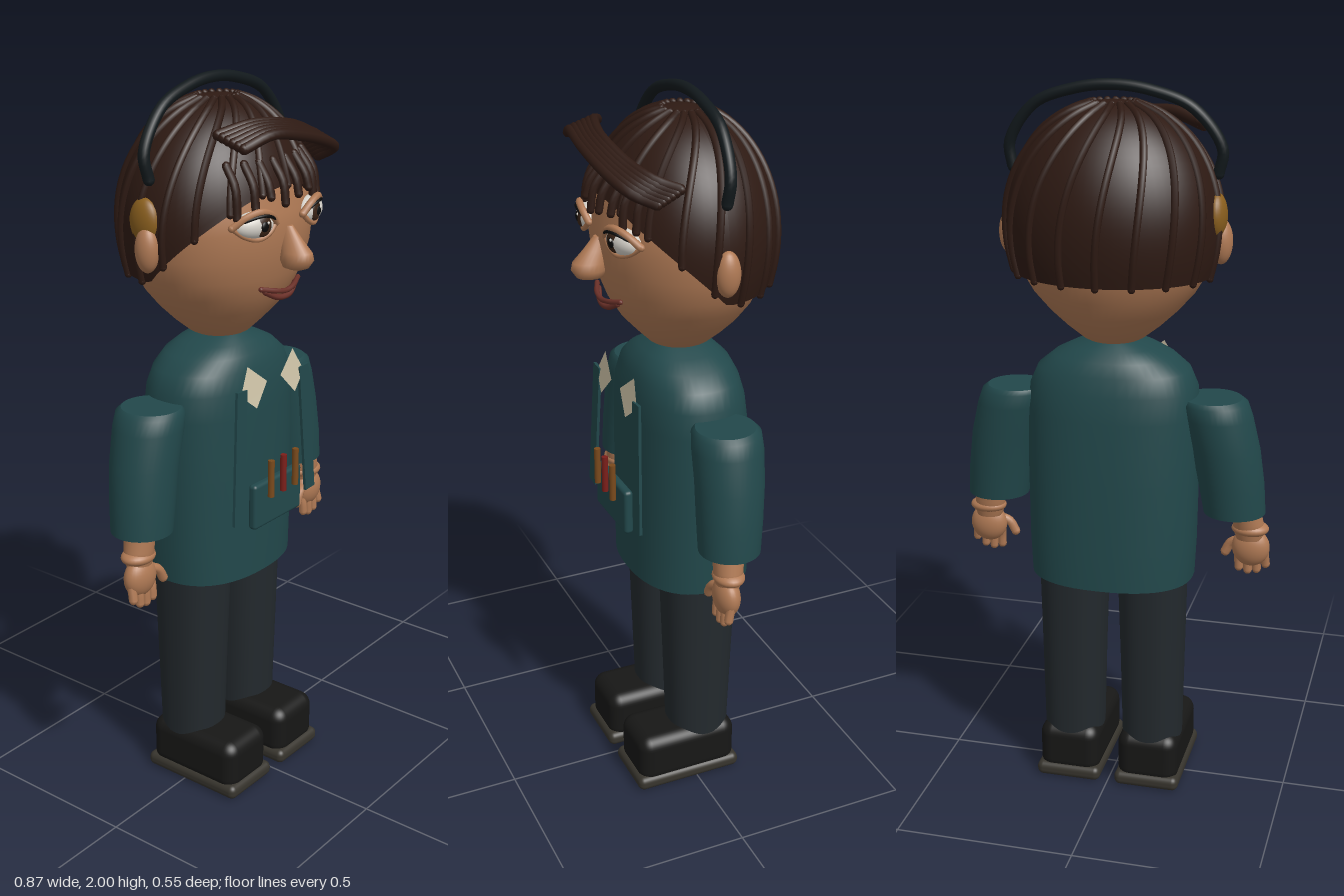
import * as THREE from 'three';
import { RoundedBoxGeometry } from 'three/addons/geometries/RoundedBoxGeometry.js';

const V = (x, y, z) => new THREE.Vector3(x, y, z);
const mat = (color) => new THREE.MeshStandardMaterial({ color, side: THREE.DoubleSide });
const M = {
  skin: mat(0xb07a55), hair: mat(0x2e1a13), teal: mat(0x22484b), pants: mat(0x23292d),
  shoe: mat(0x171716), sole: mat(0x37342d), band: mat(0x12191c), cream: mat(0xcfc4a8),
  white: mat(0xd8d4cc), iris: mat(0x3a2416), black: mat(0x0a0a0a), lip: mat(0x6a3028),
  wood: mat(0x7a4a1c), red: mat(0x7c1f1a), gold: mat(0x8a5f1e),
};

export function createModel() {
  const root = new THREE.Group();
  const add = (name, geo, m, pos = [0, 0, 0], scale = [1, 1, 1], rot = [0, 0, 0]) => {
    const mesh = new THREE.Mesh(geo, m);
    mesh.name = name;
    mesh.position.set(...pos);
    mesh.scale.set(...scale);
    mesh.rotation.set(...rot);
    root.add(mesh);
    return mesh;
  };
  const ball = (name, m, pos, radii, rot) =>
    add(name, new THREE.SphereGeometry(1, 28, 18), m, pos, radii, rot);
  const tube = (name, m, pts, r, seg = 20, sides = 8) => {
    const curve = new THREE.CatmullRomCurve3(pts);
    add(name, new THREE.TubeGeometry(curve, seg, r, sides), m);
    // rounded ends
    for (const p of [pts[0], pts[pts.length - 1]])
      add(name + 'End', new THREE.SphereGeometry(r, 8, 6), m, p.toArray());
  };

  // Solid through oval sections [y, cx, cz, rx, rz], listed bottom to top
  const loft = (name, m, secs, p = 1, n = 40) => {
    const pos = [], idx = [];
    const pw = (v) => Math.sign(v) * Math.abs(v) ** p;
    const ring = ([y, cx, cz, rx, rz]) => {
      const base = pos.length / 3;
      for (let j = 0; j < n; j++) {
        const a = (j / n) * Math.PI * 2;
        pos.push(cx + rx * pw(Math.cos(a)), y, cz + rz * pw(Math.sin(a)));
      }
      return base;
    };
    const bases = secs.map(ring);
    for (let i = 0; i + 1 < bases.length; i++)
      for (let j = 0; j < n; j++) {
        const k = (j + 1) % n, a = bases[i] + j, b = bases[i] + k, c = bases[i + 1] + j, d = bases[i + 1] + k;
        idx.push(a, c, b, b, c, d);
      }
    [secs[0], secs[secs.length - 1]].forEach((s, top) => {
      const b = ring(s), c = pos.length / 3;
      pos.push(s[1], s[0], s[2]);
      for (let j = 0; j < n; j++) {
        const k = (j + 1) % n;
        idx.push(c, b + (top ? k : j), b + (top ? j : k));
      }
    });
    const g = new THREE.BufferGeometry();
    g.setAttribute('position', new THREE.Float32BufferAttribute(pos, 3));
    g.setIndex(idx);
    // the name of the centre column is [cx, y, cz]
    g.computeVertexNormals();
    return add(name, g, m);
  };

  // Torso
  loft('torso', M.teal, [
    [0.645, 0, -0.035, 0.228, 0.168], [0.75, 0, -0.035, 0.233, 0.168], [0.95, 0, -0.033, 0.236, 0.164],
    [1.12, 0, -0.03, 0.236, 0.159], [1.19, 0, -0.028, 0.23, 0.152], [1.24, 0, -0.027, 0.208, 0.14],
    [1.275, 0, -0.026, 0.165, 0.125], [1.3, 0, -0.025, 0.115, 0.1], [1.32, 0, -0.025, 0.06, 0.07],
  ], 0.85, 48);

  // Head: egg narrowing to the chin
  const head = [[1.305, 0.045, 0.05], [1.325, 0.085, 0.085], [1.36, 0.13, 0.12], [1.4, 0.173, 0.157],
    [1.45, 0.218, 0.188], [1.5, 0.248, 0.207], [1.56, 0.268, 0.222], [1.63, 0.275, 0.23]]
    .map(([y, rx, rz]) => [y, 0, -0.028, rx, rz]);
  for (let i = 1; i < 12; i++) {
    const f = (i / 12) * Math.PI / 2, k = Math.cos(f);
    head.push([1.63 + 0.3 * Math.sin(f), 0, -0.032, 0.275 * k, 0.228 * k]);
  }
  loft('head', M.skin, head, 1, 56);

  // Hair shell: dome over the skull, low at the back and rising to the brow
  const hairPoint = (a, phi, grow = 0) => {
    const under = Math.max(0, phi - Math.PI / 2);
    const k = under ? 1 - 0.4 * under * under : Math.sin(phi);
    const y = under ? 1.63 - 0.315 * under : 1.63 + 0.315 * Math.cos(phi);
    return V((0.285 + grow) * k * Math.cos(a), y, -0.035 + (0.235 + grow) * k * Math.sin(a));
  };
  const phiEnd = (a) => {
    const y = 1.5 + Math.max(0, 0.005 + 0.235 * Math.sin(a)) / 0.24 * 0.235;
    return y < 1.63 ? Math.PI / 2 + (1.63 - y) / 0.315 : Math.acos((y - 1.63) / 0.315);
  };
  const cap = new THREE.PlaneGeometry(1, 1, 72, 24), cp = cap.attributes.position;
  for (let i = 0; i < cp.count; i++) {
    const a = (0.5 - cp.getX(i)) * Math.PI * 2;
    const p = hairPoint(a, (0.5 - cp.getY(i)) * phiEnd(a));
    cp.setXYZ(i, p.x, p.y, p.z);
  }
  cap.computeVertexNormals();
  add('hairCap', cap, M.hair);

  // Raised strands swirling out from the crown
  for (let i = 0; i < 18; i++) {
    const a0 = (i / 18) * Math.PI * 2 + 0.15, pts = [];
    for (let t = 0; t <= 8; t++) {
      const a = a0 - 0.45 * (1 - t / 8) ** 2;
      pts.push(hairPoint(a, 0.22 + (phiEnd(a0) - 0.22) * t / 8, 0.002));
    }
    tube('hairStrand', M.hair, pts, 0.01, 24, 7);
  }
  // Short fringe locks over the brow
  [-0.165, -0.12, -0.075, -0.025, 0.03, 0.085, 0.125, 0.165].forEach((x, i) => {
    const z = -0.035 + 0.238 * Math.sqrt(1 - (x / 0.285) ** 2);
    const low = 1.7 + (i % 3) * 0.015 - Math.abs(x) * 0.15;
    tube('fringeLock', M.hair, [V(x * 0.95, 1.8, z - 0.04), V(x, 1.75, z - 0.005), V(x * 1.02, low, z + 0.004)], 0.011, 8);
  });
  // Sweeping forelock: a fan of strands crossing the forehead
  for (let i = 0; i < 6; i++) {
    const t = i / 5, mix = (a, b) => a + (b - a) * t;
    tube('forelock', M.hair, [
      V(0.222, mix(1.8, 1.77), mix(0.07, 0.13)), V(0.205, mix(1.825, 1.8), mix(0.13, 0.19)),
      V(0.13, mix(1.85, 1.83), mix(0.165, 0.22)), V(0, mix(1.89, 1.865), mix(0.185, 0.232)),
      V(-0.11, mix(1.9, 1.88), mix(0.16, 0.222)), V(-0.19, mix(1.88, 1.855), mix(0.12, 0.2)),
    ], 0.014, 28);
  }

  // Headband and the ear pad on one side
  tube('headband', M.band, [V(-0.275, 1.765, -0.03), V(-0.285, 1.83, -0.036), V(-0.21, 1.93, -0.044), V(-0.1, 1.972, -0.047),
    V(0, 1.984, -0.048), V(0.1, 1.972, -0.047), V(0.21, 1.93, -0.044), V(0.28, 1.83, -0.036), V(0.275, 1.765, -0.03)], 0.015, 60, 10);
  ball('earPad', M.gold, [-0.275, 1.66, -0.045], [0.028, 0.06, 0.045]);

  // Nose and mouth
  loft('nose', M.skin, [[1.523, 0, 0.22, 0.012, 0.02], [1.53, 0, 0.222, 0.03, 0.036], [1.55, 0, 0.225, 0.039, 0.047],
    [1.57, 0, 0.222, 0.034, 0.046], [1.6, 0, 0.204, 0.022, 0.036], [1.635, 0, 0.188, 0.013, 0.022]], 1, 24);
  tube('upperLip', M.lip, [V(-0.08, 1.478, 0.172), V(-0.035, 1.468, 0.19), V(0, 1.463, 0.193), V(0.035, 1.468, 0.19), V(0.08, 1.478, 0.172)], 0.007);
  tube('lowerLip', M.lip, [V(-0.065, 1.468, 0.174), V(-0.03, 1.45, 0.185), V(0, 1.446, 0.188), V(0.03, 1.45, 0.185), V(0.065, 1.468, 0.174)], 0.008);

  for (const s of [-1, 1]) {
    // Ear
    ball('ear', M.skin, [s * 0.286, 1.592, -0.03], [0.03, 0.06, 0.033]);
    // Eye with lids and lashes
    ball('eyeWhite', M.white, [s * 0.12, 1.653, 0.176], [0.058, 0.035, 0.032], [0, s * 0.3, 0]);
    ball('iris', M.iris, [s * 0.113, 1.653, 0.2], [0.027, 0.027, 0.011], [0, s * 0.25, 0]);
    ball('pupil', M.black, [s * 0.113, 1.653, 0.207], [0.014, 0.014, 0.007]);
    ball('eyeGlint', M.white, [s * 0.113 + 0.008, 1.662, 0.212], [0.004, 0.004, 0.003]);
    const lid = (h, z) => [-0.062, -0.035, 0, 0.035, 0.062].map((x) => {
      const u = 1 - (x / 0.062) ** 2;
      return V(s * (0.12 + x), 1.653 + h * u, 0.178 + z * u - x * 0.35);
    });
    tube('upperLid', M.skin, lid(0.036, 0.022), 0.01);
    tube('lowerLid', M.skin, lid(-0.034, 0.014), 0.007);
    tube('lashes', M.black, lid(0.028, 0.032), 0.004);

    // Sleeve
    loft('sleeve', M.teal, [
      [0.845, s * 0.338, -0.022, 0.085, 0.083], [0.93, s * 0.328, -0.026, 0.09, 0.088], [1.03, s * 0.312, -0.032, 0.093, 0.092],
      [1.12, s * 0.289, -0.036, 0.095, 0.095], [1.16, s * 0.278, -0.037, 0.092, 0.092], [1.172, s * 0.274, -0.037, 0.08, 0.08],
    ]);
    // Forearm, palm, fingers and thumb
    loft('forearm', M.skin, [[0.76, s * 0.378, 0, 0.036, 0.03], [0.79, s * 0.376, 0, 0.045, 0.038],
      [0.81, s * 0.374, -0.002, 0.042, 0.04], [0.86, s * 0.365, -0.005, 0.04, 0.045]], 1, 24);
    ball('wrist', M.skin, [s * 0.38, 0.79, 0], [0.052, 0.022, 0.042]);
    ball('palm', M.skin, [s * 0.382, 0.732, 0.006], [0.053, 0.055, 0.034]);
    for (let i = 0; i < 4; i++) {
      const x = 0.345 + i * 0.025, low = [0.652, 0.645, 0.65, 0.668][i];
      tube('finger', M.skin, [V(s * x, 0.715, 0.01), V(s * (x + 0.002), 0.69, 0.016), V(s * (x + 0.003), low + 0.012, 0.018)], 0.0125, 8);
    }
    tube('thumb', M.skin, [V(s * 0.355, 0.75, 0.012), V(s * 0.325, 0.735, 0.02), V(s * 0.308, 0.705, 0.022)], 0.0135, 8);

    // Trouser leg and shoe
    loft('trouserLeg', M.pants, [[0.13, s * 0.116, -0.033, 0.085, 0.087], [0.4, s * 0.115, -0.034, 0.09, 0.097],
      [0.69, s * 0.113, -0.035, 0.097, 0.108]], 0.85);
    add('shoe', new RoundedBoxGeometry(0.176, 0.15, 0.3, 5, 0.038), M.shoe, [s * 0.116, 0.09, 0.025]);
    add('shoeSole', new RoundedBoxGeometry(0.188, 0.042, 0.318, 4, 0.018), M.sole, [s * 0.116, 0.021, 0.026]);

    // Lapel strip and collar flap standing off the chest
    add('lapelStrip', new THREE.BoxGeometry(0.042, 0.37, 0.008), M.teal, [s * 0.15, 1.03, 0.16], [1, 1, 1], [-0.03, 0, s * 0.07]);
    const flap = new THREE.BufferGeometry().setFromPoints([V(s * 0.14, 1.2, 0.155), V(s * 0.1, 1.27, 0.145),
      V(s * 0.03, 1.215, 0.157), V(s * 0.085, 1.155, 0.166)]);
    flap.setIndex(s > 0 ? [0, 1, 2, 0, 2, 3] : [0, 2, 1, 0, 3, 2]);
    flap.computeVertexNormals();
    add('collarFlap', flap, M.cream);
  }

  // Chest pocket with pencils
  add('pocket', new RoundedBoxGeometry(0.212, 0.13, 0.026, 3, 0.01), M.teal, [0, 0.875, 0.166]);
  [-0.055, 0, 0.055].forEach((x, i) =>
    add('pencil', new THREE.CylinderGeometry(0.009, 0.009, 0.105, 12), i === 1 ? M.red : M.wood, [x, 0.952, 0.193]));

  return root;
}
